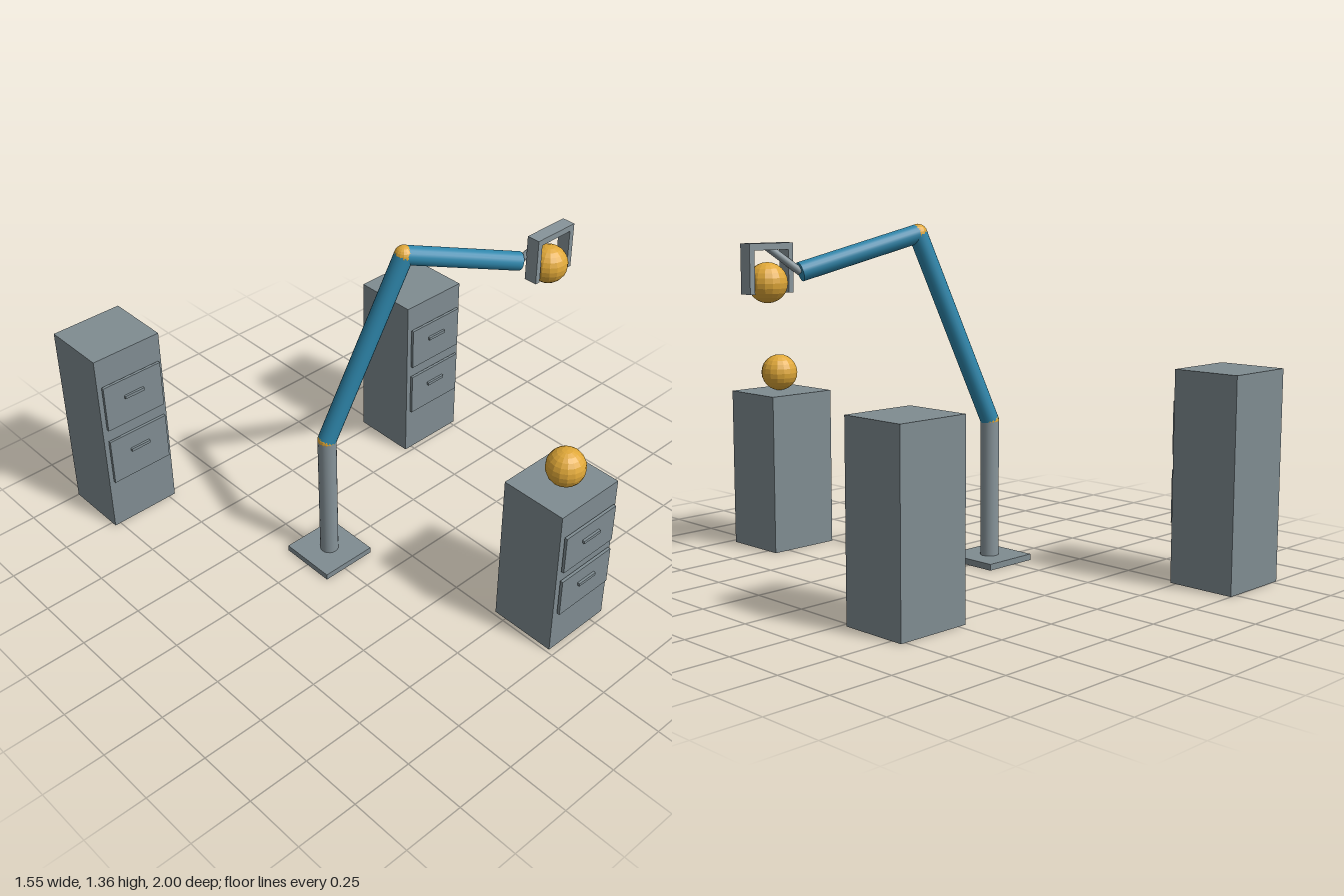
import * as THREE from 'three';

const V = (x, y, z) => new THREE.Vector3(x, y, z);

export function createModel() {
  const root = new THREE.Group();
  root.name = 'robotArmWorkcell';

  const mat = (name, color) => {
    const m = new THREE.MeshStandardMaterial({ color });
    m.name = name;
    return m;
  };
  const cabinetGrey = mat('cabinet grey', 0x7f8c91);
  const steel = mat('steel grey', 0x87949a);
  const blue = mat('arm blue', 0x2e86ab);
  const amber = mat('amber', 0xe0a838);

  const add = (parent, name, geometry, material, p) => {
    const mesh = new THREE.Mesh(geometry, material);
    mesh.name = name;
    mesh.position.copy(p);
    parent.add(mesh);
    return mesh;
  };
  const box = (parent, name, size, p, material) =>
    add(parent, name, new THREE.BoxGeometry(...size), material, p);

  // Faceted ball
  const ball = (parent, name, r, p) => {
    const g = new THREE.SphereGeometry(r, 16, 12).toNonIndexed();
    g.computeVertexNormals();
    return add(parent, name, g, amber, p);
  };

  // Cylinder running between two points
  const link = (parent, name, a, b, r, material) => {
    const dir = b.clone().sub(a);
    const g = new THREE.CylinderGeometry(r, r, dir.length(), 20);
    const mesh = add(parent, name, g, material, a.clone().add(b).multiplyScalar(0.5));
    mesh.quaternion.setFromUnitVectors(V(0, 1, 0), dir.normalize());
    return mesh;
  };

  // Cabinets with two drawers each, facing +z
  const cabinet = (name, x, zBack, h) => {
    const group = new THREE.Group();
    group.name = name;
    group.position.set(x, 0, zBack);
    const w = 0.305, d = 0.275;
    box(group, 'cabinetBody', [w, h, d], V(0, h / 2, d / 2), cabinetGrey);
    for (const f of [0.725, 0.405]) {
      box(group, 'drawerFront', [0.27, h * 0.25, 0.012], V(0, h * f, d + 0.011), cabinetGrey);
      box(group, 'drawerHandle', [0.09, 0.013, 0.011], V(0, h * (f + 0.027), d + 0.0215), cabinetGrey);
    }
    root.add(group);
  };
  cabinet('tallCabinet', -0.623, -1.0, 0.824);
  cabinet('middleCabinet', 0.618, -0.546, 0.738);
  cabinet('shortCabinet', 0.167, 0.698, 0.652);
  ball(root, 'restingBall', 0.0755, V(0.167, 0.7285, 0.848));

  // Arm
  const arm = new THREE.Group();
  arm.name = 'robotArm';
  root.add(arm);
  const shoulder = V(-0.228, 0.575, 0);
  const elbow = V(0.068, 1.322, 0.104);
  const wrist = V(0.515, 1.187, 0.267);
  box(arm, 'basePlate', [0.236, 0.025, 0.236], V(-0.228, 0.0125, 0), cabinetGrey);
  link(arm, 'post', V(-0.228, 0.025, 0), shoulder, 0.037, steel);
  link(arm, 'upperArm', shoulder, elbow, 0.037, blue);
  link(arm, 'forearm', elbow, wrist, 0.037, blue);
  ball(arm, 'shoulderJoint', 0.0375, shoulder);
  ball(arm, 'elbowJoint', 0.0375, elbow);

  // Gripper holding a ball
  const gripper = new THREE.Group();
  gripper.name = 'gripper';
  gripper.position.set(0.632, 0, 0.315);
  arm.add(gripper);
  link(arm, 'wristRod', wrist, V(0.632, 1.282, 0.315), 0.015, steel);
  box(gripper, 'palm', [0.2, 0.025, 0.055], V(0, 1.283, 0), steel);
  for (const s of [-1, 1]) {
    box(gripper, 'finger', [0.022, 0.161, 0.055], V(s * 0.089, 1.191, 0), steel);
  }
  ball(gripper, 'heldBall', 0.0755, V(0, 1.15, 0));

  return root;
}
